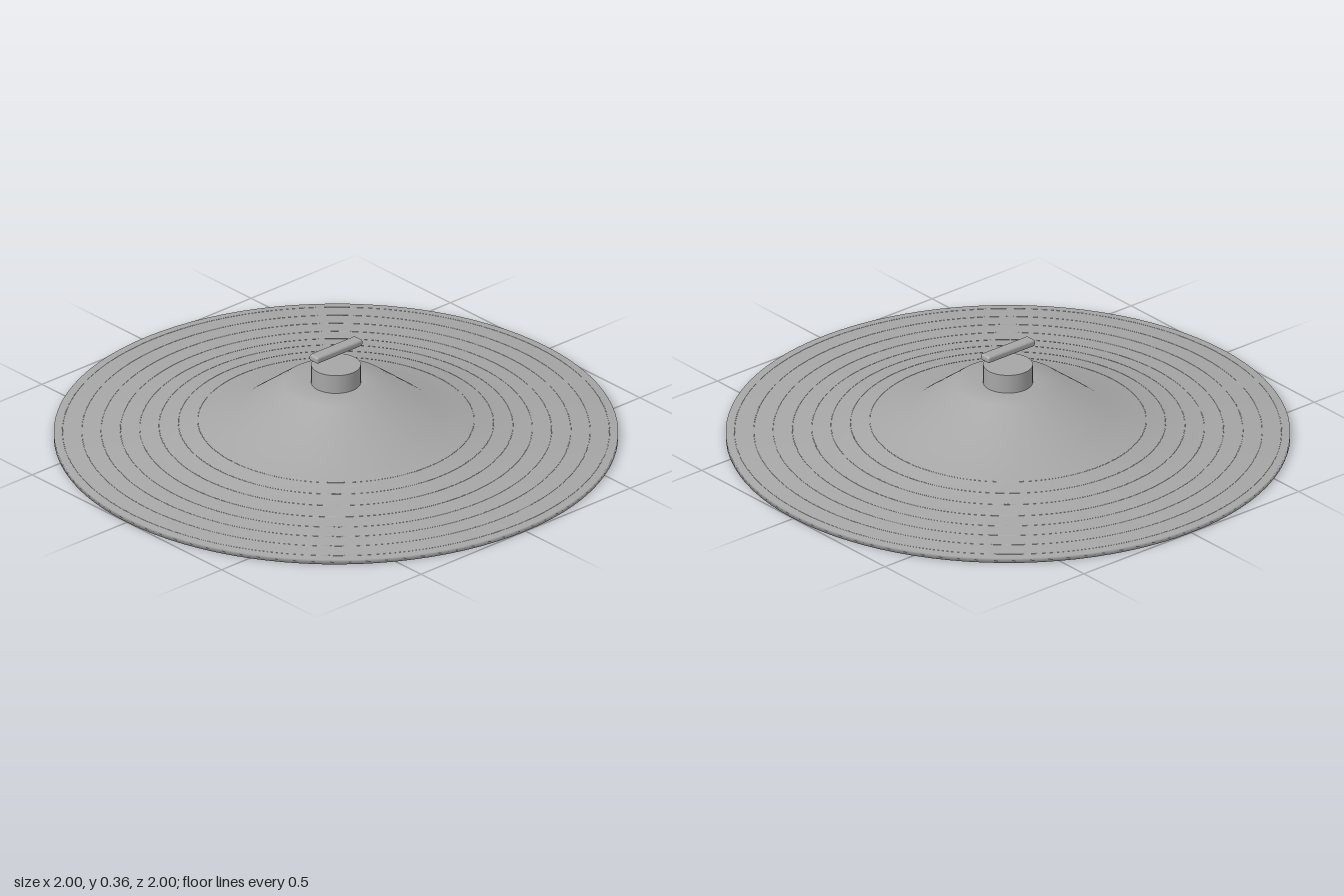
import * as THREE from 'three';
import { RoundedBoxGeometry } from 'three/addons/geometries/RoundedBoxGeometry.js';

export function createModel() {
  const model = new THREE.Group();
  const metal = new THREE.MeshStandardMaterial({ color: 0xa6a6a6 });
  metal.name = 'grey metal';

  const add = (name, geometry, y = 0) => {
    const mesh = new THREE.Mesh(geometry, metal);
    mesh.name = name;
    mesh.position.y = y;
    model.add(mesh);
    return mesh;
  };

  // Upper surface as radius and height, from the hole to the rim
  const top = [[0.06, 0.215], [0.19, 0.215], [0.36, 0.085], [0.72, 0.03], [1, 0.018]];
  const bottom = [[0.06, 0.2], [0.19, 0.198], [0.36, 0.065], [0.72, 0.013], [1, 0]];

  // Thin hollow plate: underside outwards, rim, top inwards, hole wall
  const profile = [...bottom, ...[...top].reverse(), bottom[0]]
    .map(([r, y]) => new THREE.Vector2(r, y));
  add('cymbalPlate', new THREE.LatheGeometry(profile, 96));

  // Height of the upper surface at a radius
  const heightAt = (r) => {
    const i = Math.max(1, top.findIndex((p) => p[0] >= r));
    const [r0, y0] = top[i - 1], [r1, y1] = top[i];
    return y0 + (y1 - y0) * (r - r0) / (r1 - r0);
  };

  // Fine lathed ridges, half sunk into the bow
  for (let i = 0; i < 8; i++) {
    const r = 0.49 + i * 0.0685;
    const ring = new THREE.TorusGeometry(r, 0.0016, 6, 96).rotateX(Math.PI / 2);
    add('toneRidge' + (i + 1), ring, heightAt(r) - 0.0006);
  }

  // Felt above, sleeve below, and wing nut bar
  add('upperFelt', new THREE.CylinderGeometry(0.088, 0.088, 0.071, 48), 0.25);
  add('lowerSleeve', new THREE.CylinderGeometry(0.07, 0.07, 0.037, 48), 0.1985);
  add('wingNut', new RoundedBoxGeometry(0.22, 0.026, 0.046, 3, 0.009), 0.343);

  return model;
}
